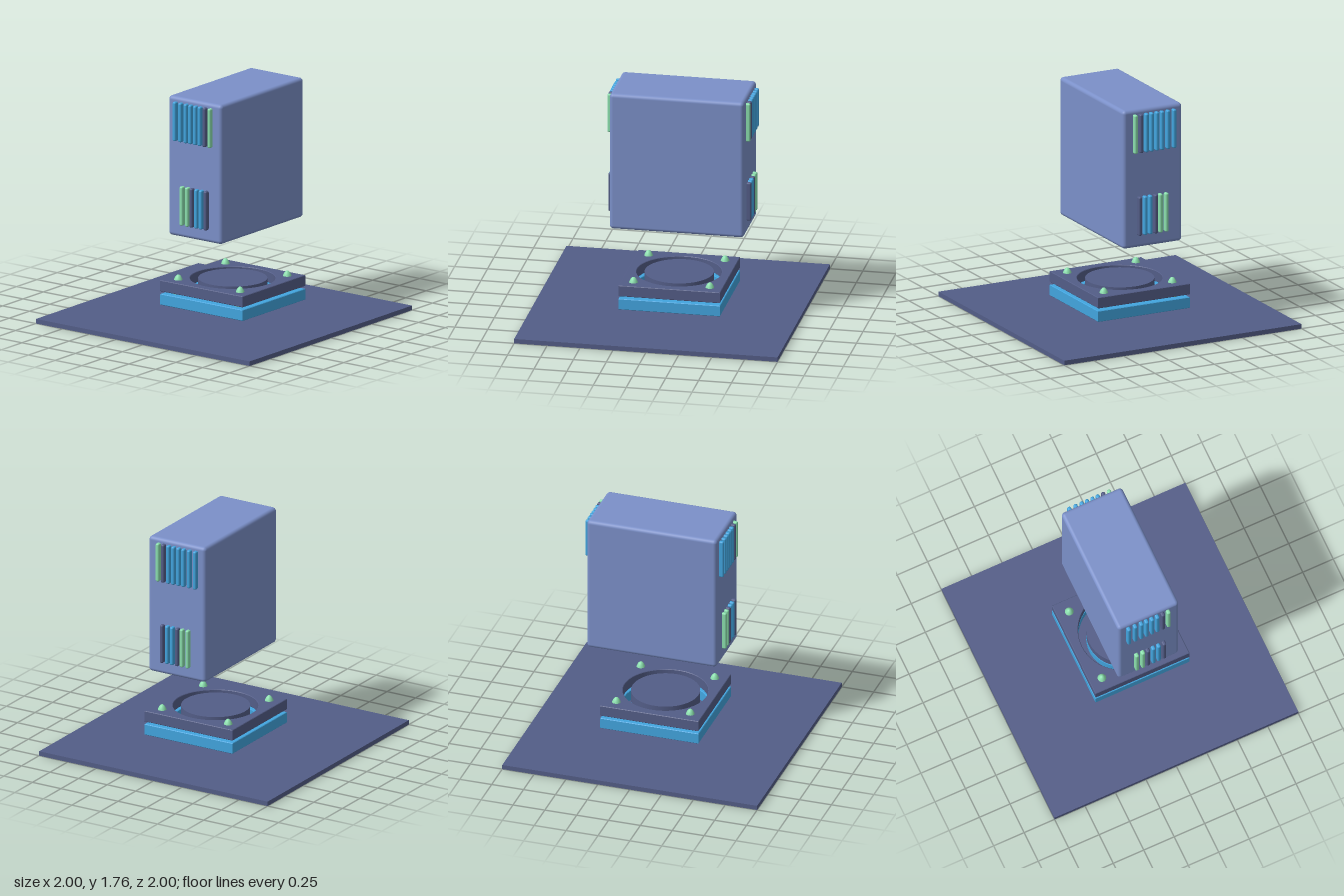
import * as THREE from 'three';
import { RoundedBoxGeometry } from 'three/addons/geometries/RoundedBoxGeometry.js';

const paint = (color) => new THREE.MeshStandardMaterial({ color });
const MAT = {
  body: paint(0x7b90c9),
  dark: paint(0x535d87),
  blue: paint(0x42a5df),
  green: paint(0x8be0ae),
};

function add(parent, name, geometry, material, x, y, z) {
  const mesh = new THREE.Mesh(geometry, material);
  mesh.name = name;
  mesh.position.set(x, y, z);
  parent.add(mesh);
  return mesh;
}

// Square frame with a round opening, lying flat and centred on its own origin
function frameGeometry(size, height, hole, bevel) {
  const h = size / 2 - bevel;
  const shape = new THREE.Shape();
  shape.moveTo(-h, -h).lineTo(h, -h).lineTo(h, h).lineTo(-h, h).closePath();
  const opening = new THREE.Path();
  opening.absarc(0, 0, hole + bevel, 0, Math.PI * 2, true);
  shape.holes.push(opening);
  const geometry = new THREE.ExtrudeGeometry(shape, {
    depth: height - 2 * bevel,
    bevelEnabled: true,
    bevelThickness: bevel,
    bevelSize: bevel,
    bevelSegments: 1,
    curveSegments: 48,
  });
  geometry.translate(0, 0, bevel - height / 2);
  geometry.rotateX(-Math.PI / 2);
  return geometry;
}

export function createModel() {
  const model = new THREE.Group();
  model.name = 'floatingCaseAndFan';

  // Ground plate
  add(model, 'basePlate', new THREE.BoxGeometry(2, 0.035, 2), MAT.dark, 0, 0.0175, 0);

  // Fan: two stacked frames, each with a disc in its opening
  const fan = new THREE.Group();
  fan.name = 'fan';
  fan.position.set(0.035, 0, -0.062);
  model.add(fan);
  const frame = frameGeometry(0.772, 0.085, 0.318, 0.004);
  const disc = new THREE.CylinderGeometry(0.258, 0.258, 0.085, 64);
  for (const [name, y, material] of [['lower', 0.147, MAT.blue], ['upper', 0.252, MAT.dark]]) {
    add(fan, name + 'Frame', frame, material, 0, y, 0);
    add(fan, name + 'Disc', disc, material, 0, y, 0);
  }

  // Egg-shaped pegs through the four corners
  const peg = new THREE.SphereGeometry(1, 24, 16);
  for (const sx of [-1, 1]) {
    for (const sz of [-1, 1]) {
      add(fan, 'cornerPeg', peg, MAT.green, sx * 0.289, 0.22, sz * 0.29).scale.set(0.043, 0.115, 0.043);
    }
  }

  // Case with softened edges
  const tower = new THREE.Group();
  tower.name = 'tower';
  tower.position.set(0.042, 0, -0.092);
  model.add(tower);
  add(tower, 'case', new RoundedBoxGeometry(0.5, 1.075, 1.02, 4, 0.028), MAT.body, 0, 1.2275, 0);

  // Upright strips running through the case and standing proud at front and back
  const { blue, dark, green } = MAT;
  const rows = [
    {
      name: 'upperStrip', y: 1.58,
      xs: [-0.129, -0.077, -0.027, 0.016, 0.061, 0.104, 0.15, 0.196],
      colors: [blue, blue, blue, blue, blue, blue, dark, green],
    },
    {
      name: 'lowerStrip', y: 0.938,
      xs: [-0.064, -0.014, 0.027, 0.072, 0.115, 0.16],
      colors: [green, green, dark, blue, blue, dark],
    },
  ];
  const strip = new RoundedBoxGeometry(0.03, 0.302, 1.086, 3, 0.012);
  for (const { name, y, xs, colors } of rows) {
    xs.forEach((x, i) => add(tower, name, strip, colors[i], x - tower.position.x, y, 0));
  }

  return model;
}
